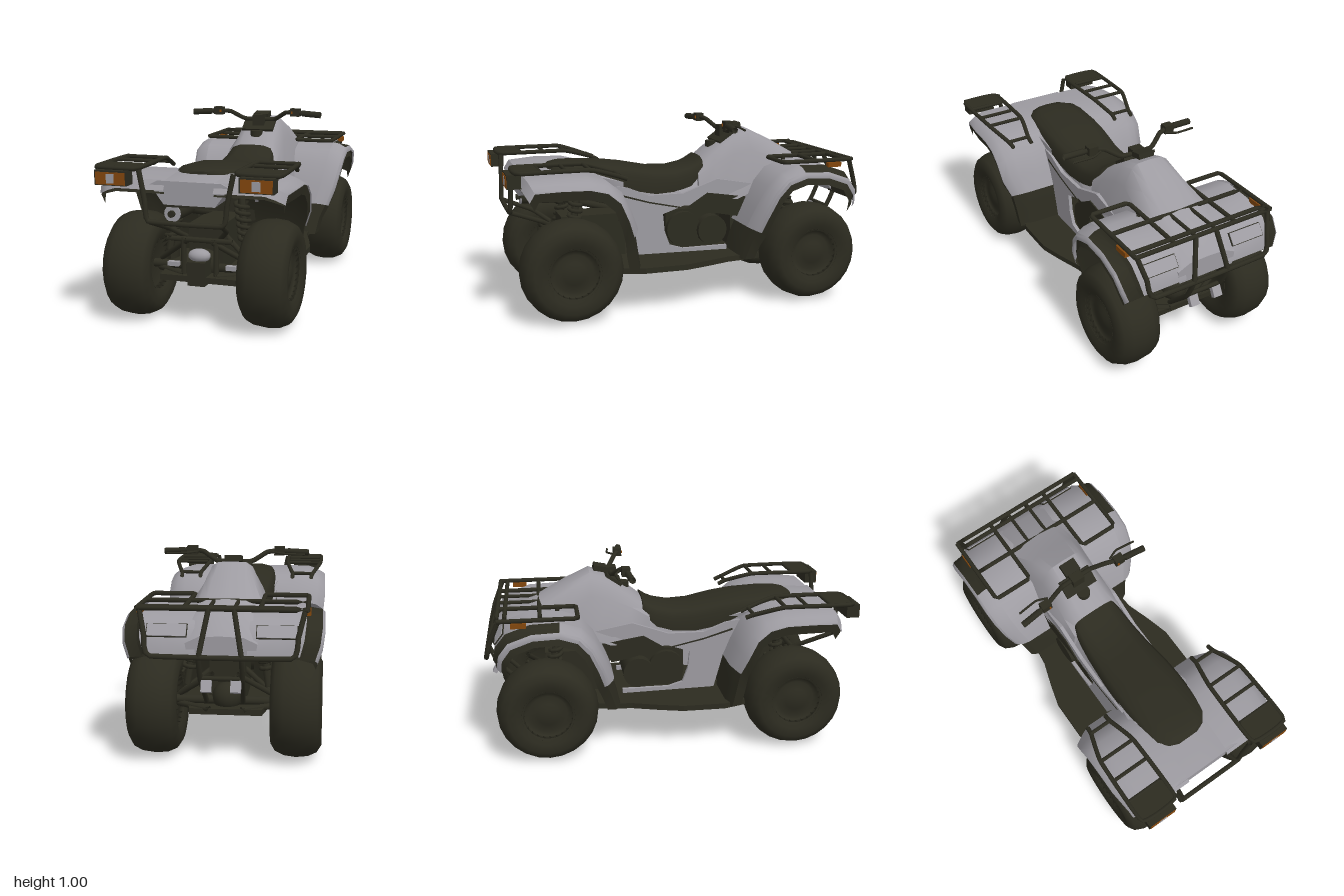
import * as THREE from 'three';
import { toCreasedNormals } from 'three/addons/utils/BufferGeometryUtils.js';

const flat = (name, color) => new THREE.MeshStandardMaterial({ name, color, side: THREE.DoubleSide });

export function createModel() {
  const root = new THREE.Group();
  const dark = flat('black plastic', 0x2c2b20);
  const grey = flat('grey bodywork', 0x9d9ba1);
  const amber = flat('amber lamp', 0x83470d);
  const SIDES = [1, -1];

  const add = (name, geo, mat, x = 0, y = 0, z = 0, rx = 0, ry = 0, rz = 0) => {
    const m = new THREE.Mesh(geo, mat);
    m.name = name;
    m.position.set(x, y, z);
    m.rotation.set(rx, ry, rz);
    root.add(m);
    return m;
  };
  const box = (name, mat, w, h, d, ...at) => add(name, new THREE.BoxGeometry(w, h, d), mat, ...at);
  const axle = (name, r, len, ...at) => add(name, new THREE.CylinderGeometry(r, r, len, 20), dark, ...at, 0, 0, Math.PI / 2);
  const tube = (name, pts, r = 0.012) => {
    const curve = new THREE.CatmullRomCurve3(pts.map(p => new THREE.Vector3(...p)), false, 'catmullrom', 0.15);
    return add(name, new THREE.TubeGeometry(curve, pts.length * 7, r, 7), dark);
  };
  const pair = (name, pts, r) => SIDES.forEach(s => tube(name, pts.map(([x, y, z]) => [x * s, y, z]), r));

  // Skin over rows of points
  const loft = (name, mat, rows, crease = 0.7) => {
    const n = rows[0].length, idx = [];
    for (let i = 0; i < rows.length - 1; i++) for (let j = 0; j < n - 1; j++) {
      const a = i * n + j, b = a + n;
      idx.push(a, b, a + 1, b, b + 1, a + 1);
    }
    const g = new THREE.BufferGeometry();
    g.setAttribute('position', new THREE.Float32BufferAttribute(rows.flat(2), 3));
    g.setIndex(idx);
    return add(name, toCreasedNormals(g, crease), mat);
  };
  // Closed symmetric shell: each station is [z, [x, y] points from the top centre down]
  const shell = (name, mat, stations, crease) => {
    const rows = stations.map(([z, pts]) => {
      const half = [...pts, [0, pts[pts.length - 1][1]]];
      return [...half.slice().reverse().map(([x, y]) => [-x, y, z]), ...half.slice(1).map(([x, y]) => [x, y, z])];
    });
    const cap = row => {
      const y = (row[0][1] + row[(row.length - 1) / 2][1]) / 2;
      return row.map(p => [0, y, p[2]]);
    };
    return loft(name, mat, [cap(rows[0]), ...rows, cap(rows[rows.length - 1])], crease);
  };
  // Wheel arch: stations [z, y, widthScale] swept over columns [x, inset toward the axle]
  const arch = (name, mat, stations, cols, wheelZ) => SIDES.forEach(s => loft(name, mat,
    stations.map(([z, y, k = 1]) => cols.map(([x, inset]) => {
      const dz = wheelZ - z, dy = 0.28 - y, l = Math.hypot(dz, dy);
      return [s * x * k, y + dy / l * inset, z + dz / l * inset];
    })), 0.8));
  // Flat plate drawn in (z, y) and mirrored to both sides
  const sidePlate = (name, mat, pts, x, t) => {
    const g = new THREE.ExtrudeGeometry(new THREE.Shape(pts.map(p => new THREE.Vector2(...p))), { depth: t, bevelEnabled: false });
    SIDES.forEach(s => add(name, g, mat, s > 0 ? x : -x + t, 0, 0, 0, -Math.PI / 2));
  };

  // Wheels
  const tyre = new THREE.LatheGeometry([[0.13, -0.105], [0.165, -0.12], [0.21, -0.125], [0.245, -0.103], [0.265, -0.06],
    [0.272, 0], [0.265, 0.06], [0.245, 0.103], [0.21, 0.125], [0.165, 0.12], [0.13, 0.105]].map(p => new THREE.Vector2(...p)), 24);
  const rim = new THREE.LatheGeometry([[0, -0.07], [0.12, -0.07], [0.14, -0.11], [0.14, 0.11], [0.125, 0.085], [0.1, 0.075],
    [0.06, 0.085], [0.03, 0.095], [0, 0.095]].map(p => new THREE.Vector2(...p)), 24);
  for (const z of [0.67, -0.68]) for (const s of SIDES) {
    add('tyre', tyre, dark, s * 0.35, 0.277, z, 0, 0, -s * Math.PI / 2);
    add('wheelRim', rim, dark, s * 0.35, 0.277, z, 0, 0, -s * Math.PI / 2);
  }

  // Axles, suspension arms and shock absorbers
  for (const [z, d] of [[0.67, 1], [-0.68, -1]]) {
    axle('axle', 0.022, 0.62, 0, 0.28, z);
    add('differential', new THREE.SphereGeometry(0.075, 16, 12), dark, 0, 0.3, z);
    for (const dz of [-0.1, 0.1]) {
      pair('lowerArm', [[0.08, 0.26, z + dz], [0.25, 0.26, z]], 0.016);
      pair('upperArm', [[0.06, 0.44, z + dz], [0.24, 0.31, z]], 0.014);
    }
    pair('shockRod', [[0.21, 0.33, z - d * 0.02], [0.16, 0.68, z - d * 0.08]], 0.02);
    const coil = Array.from({ length: 49 }, (_, i) => {
      const t = i / 48, a = t * Math.PI * 12;
      return [0.2 - 0.035 * t + 0.032 * Math.cos(a), 0.42 + 0.2 * t, z - d * (0.04 + 0.03 * t) + 0.032 * Math.sin(a)];
    });
    pair('shockSpring', coil, 0.011);
    box('frameBlock', dark, 0.18, 0.24, 0.36, 0, 0.38, z - d * 0.18);
  }

  // Belly plate with footwells
  const floor = [[0.18, -0.78], [0.22, -0.58], [0.3, -0.4], [0.32, -0.22], [0.365, -0.08], [0.4, 0.05], [0.4, 0.28], [0.36, 0.4], [0.22, 0.56], [0.2, 0.8]];
  const floorShape = new THREE.Shape([...floor, ...floor.slice().reverse().map(([x, z]) => [-x, z])].map(p => new THREE.Vector2(...p)));
  add('footwellFloor', new THREE.ExtrudeGeometry(floorShape, { depth: 0.03, bevelEnabled: false }), dark, 0, 0.262, 0, Math.PI / 2);

  // Engine
  box('engineBlock', dark, 0.28, 0.22, 0.3, 0, 0.4, -0.06);
  axle('clutchCover', 0.085, 0.4, 0, 0.39, -0.17);
  axle('crankcase', 0.1, 0.34, 0, 0.4, -0.01);

  // Front cowl with tank and nose
  const cowl = (z, top, w, side, ws, bottom, wb) => [z, [[0, top], [w * 0.7, top - 0.004], [w, top - 0.025], [ws, side], [wb, bottom]]];
  shell('frontCowl', grey, [
    cowl(-0.1, 0.755, 0.11, 0.7, 0.155, 0.56, 0.17),
    cowl(-0.2, 0.835, 0.11, 0.76, 0.155, 0.56, 0.19),
    cowl(-0.32, 0.915, 0.105, 0.81, 0.148, 0.56, 0.2),
    cowl(-0.42, 0.948, 0.105, 0.83, 0.15, 0.6, 0.2),
    cowl(-0.55, 0.885, 0.125, 0.79, 0.17, 0.68, 0.19),
    cowl(-0.69, 0.805, 0.14, 0.765, 0.18, 0.68, 0.19),
    cowl(-0.86, 0.75, 0.15, 0.715, 0.18, 0.65, 0.18),
    cowl(-0.945, 0.665, 0.15, 0.63, 0.17, 0.56, 0.16)]);
  box('dashPanel', dark, 0.19, 0.1, 0.016, 0, 0.9, -0.288, -0.97);
  add('fuelCap', new THREE.CylinderGeometry(0.037, 0.037, 0.035, 16), dark, 0, 0.855, -0.235);

  // Rear body under the seat
  const tail = (z, top, w, bottom, wb) => [z, [[0, top], [w * 0.8, top], [w, top - 0.02], [wb, bottom]]];
  shell('rearBody', grey, [
    tail(-0.15, 0.69, 0.13, 0.56, 0.17), tail(0.1, 0.66, 0.15, 0.52, 0.17), tail(0.3, 0.7, 0.17, 0.55, 0.17),
    tail(0.5, 0.755, 0.2, 0.66, 0.17), tail(0.72, 0.765, 0.21, 0.66, 0.15), tail(0.9, 0.755, 0.2, 0.64, 0.13)]);
  box('underTray', dark, 0.26, 0.03, 0.4, 0, 0.642, 0.69);

  // Seat
  const pad = (z, w, top, bottom) => [z, [[0, top], [w * 0.55, top - 0.003], [w * 0.88, top - 0.018], [w, top - 0.05], [w, bottom]]];
  shell('seat', dark, [
    pad(-0.135, 0.13, 0.8, 0.72), pad(-0.1, 0.142, 0.775, 0.68), pad(-0.06, 0.147, 0.757, 0.64), pad(0.03, 0.155, 0.738, 0.615),
    pad(0.15, 0.163, 0.743, 0.61), pad(0.3, 0.175, 0.772, 0.64), pad(0.42, 0.178, 0.788, 0.7), pad(0.58, 0.175, 0.797, 0.735),
    pad(0.66, 0.16, 0.797, 0.74), pad(0.71, 0.12, 0.79, 0.74), pad(0.73, 0.07, 0.78, 0.74)], 1.0);

  // Side panels
  sidePlate('sidePanel', grey, [[0.44, 0.68], [0.31, 0.47], [0.26, 0.28], [-0.26, 0.27], [-0.26, 0.295], [0, 0.295], [0.08, 0.32], [0.11, 0.4],
    [0.12, 0.5], [0, 0.54], [-0.12, 0.54], [-0.3, 0.48], [-0.42, 0.64], [-0.2, 0.68], [0, 0.61], [0.2, 0.61], [0.32, 0.66]], 0.19, 0.02);
  sidePlate('sideVent', dark, [[-0.02, 0.53], [-0.14, 0.605], [-0.37, 0.57], [-0.32, 0.46], [-0.22, 0.48]], 0.197, 0.008);
  sidePlate('panelSeam', dark, [[0.36, 0.625], [0.2, 0.575], [0.02, 0.535], [0.02, 0.528], [0.2, 0.567], [0.36, 0.615]], 0.193, 0.005);

  // Rear fenders, with dark liners running down to the footwells
  const rearArc = [[0.31, 0.47, 0.91], [0.35, 0.57, 0.98], [0.405, 0.68], [0.48, 0.74], [0.58, 0.765], [0.74, 0.768], [0.885, 0.757, 0.97], [0.915, 0.71, 0.96]];
  arch('rearFender', grey, rearArc, [[0.13, 0], [0.28, 0], [0.39, 0], [0.44, 0.018], [0.485, 0.042], [0.488, 0.05]], 0.67);
  arch('rearFenderLiner', dark, [[0.27, 0.24, 0.86], [0.29, 0.36, 0.88], ...rearArc], [[0.13, 0.02], [0.39, 0.02], [0.44, 0.035], [0.48, 0.05], [0.474, 0.1]], 0.67);

  // Front fenders
  const frontArc = [[-0.32, 0.43, 0.86], [-0.36, 0.54, 0.93], [-0.42, 0.66, 0.98], [-0.49, 0.735], [-0.6, 0.77], [-0.75, 0.765], [-0.88, 0.72], [-0.935, 0.65, 0.98], [-0.95, 0.575, 0.93]];
  arch('frontFender', grey, frontArc, [[0.13, 0], [0.28, 0], [0.395, 0]], -0.68);
  arch('frontFenderShoulder', grey, frontArc.slice(0, 5), [[0.395, 0], [0.435, 0.008], [0.47, 0.03]], -0.68);
  arch('frontFenderInset', dark, frontArc.slice(4), [[0.395, 0], [0.41, 0.02], [0.47, 0.03]], -0.68);
  arch('frontFenderLip', grey, frontArc, [[0.47, 0.03], [0.482, 0.042], [0.482, 0.062]], -0.68);
  arch('frontFenderLiner', dark, [[-0.26, 0.24, 0.76], [-0.29, 0.35, 0.8], ...frontArc], [[0.13, 0.02], [0.39, 0.02], [0.46, 0.05], [0.474, 0.1]], -0.68);

  // Headlamps and side markers
  for (const s of SIDES) {
    box('headlampFrame', dark, 0.195, 0.07, 0.01, s * 0.26, 0.682, -0.912, 0.66);
    box('headlampLens', grey, 0.187, 0.063, 0.009, s * 0.26, 0.685, -0.916, 0.66);
    box('sideMarker', amber, 0.026, 0.026, 0.08, s * 0.402, 0.765, -0.81);
  }

  // Front rack
  const fy = 0.79;
  pair('frontRackLoop', [[0.4, fy, -0.92], [0.4, fy, -0.52], [0.385, fy, -0.505], [0.195, fy, -0.505], [0.18, fy, -0.52], [0.18, fy, -0.92]]);
  for (const z of [-0.92, -0.88, -0.7]) tube('frontRackBar', [[-0.4, fy, z], [0.4, fy, z]]);
  pair('frontRackSlat', [[0.06, fy, -0.92], [0.06, fy, -0.7]], 0.01);
  pair('frontRackPost', [[0.18, fy, -0.6], [0.18, 0.72, -0.62]]);

  // Front bumper
  tube('bumperHoop', [[-0.39, fy, -0.91], [-0.36, 0.67, -0.96], [-0.33, 0.575, -0.985], [0.33, 0.575, -0.985], [0.36, 0.67, -0.96], [0.39, fy, -0.91]], 0.013);
  pair('bumperStay', [[0.06, fy, -0.92], [0.1, 0.575, -0.985], [0.1, 0.45, -0.93], [0.09, 0.3, -0.78]], 0.013);
  tube('bumperCrossbar', [[-0.1, 0.46, -0.935], [0.1, 0.46, -0.935]]);
  SIDES.forEach(s => box('towBracket', grey, 0.05, 0.07, 0.025, s * 0.07, 0.43, -0.945, 0.5));

  // Rear racks and lamps
  pair('rearRackLoop', [[0.4, 0.75, 0.38], [0.405, 0.765, 0.42], [0.455, 0.815, 0.58], [0.458, 0.815, 0.945], [0.25, 0.815, 0.945],
    [0.25, 0.815, 0.58], [0.285, 0.77, 0.42], [0.285, 0.75, 0.38]]);
  pair('rearRackBar', [[0.285, 0.77, 0.42], [0.405, 0.77, 0.42]], 0.01);
  for (const z of [0.58, 0.7, 0.83]) pair('rearRackBar', [[0.25, 0.815, z], [0.457, 0.815, z]], 0.01);
  for (const s of SIDES) {
    box('rearRackPlate', dark, 0.2, 0.02, 0.115, s * 0.355, 0.812, 0.893);
    box('rearLampHousing', dark, 0.165, 0.072, 0.07, s * 0.36, 0.772, 0.96);
    box('rearLamp', amber, 0.152, 0.06, 0.008, s * 0.36, 0.77, 0.994);
    box('rearLampReflector', grey, 0.04, 0.045, 0.004, s * 0.36, 0.77, 0.998);
  }

  // Rear guard and hitch frame
  tube('rearGuard', [[-0.235, 0.81, 0.945], [-0.205, 0.66, 0.95], [-0.185, 0.565, 0.955], [0.185, 0.565, 0.955], [0.205, 0.66, 0.95], [0.235, 0.81, 0.945]], 0.013);
  pair('rearGuardStay', [[0.18, 0.565, 0.955], [0.15, 0.5, 0.79], [0.09, 0.44, 0.7]], 0.013);
  pair('hitchUpright', [[0.085, 0.45, 0.76], [0.085, 0.25, 0.76]], 0.014);
  tube('hitchCrossbar', [[-0.17, 0.44, 0.76], [0.17, 0.44, 0.76]], 0.014);
  box('hitchBlock', dark, 0.09, 0.12, 0.12, 0, 0.28, 0.76);
  add('gearCover', new THREE.SphereGeometry(0.058, 16, 10).scale(1, 0.6, 0.7), grey, 0, 0.363, 0.765);
  SIDES.forEach(s => box('armMount', grey, 0.06, 0.022, 0.03, s * 0.155, 0.298, 0.72));
  box('airBox', dark, 0.32, 0.2, 0.14, 0, 0.56, 0.28);

  // Exhaust
  add('muffler', new THREE.CylinderGeometry(0.036, 0.042, 0.2, 16), dark, -0.1, 0.585, 0.76, Math.PI / 2);
  tube('exhaustPipe', [[-0.1, 0.58, 0.68], [-0.1, 0.53, 0.5], [-0.08, 0.48, 0.3]], 0.02);
  add('mufflerCap', new THREE.CylinderGeometry(0.042, 0.042, 0.008, 16), grey, -0.1, 0.59, 0.862, Math.PI / 2);
  add('mufflerOutlet', new THREE.CylinderGeometry(0.017, 0.017, 0.03, 12), dark, -0.1, 0.59, 0.87, Math.PI / 2);

  // Handlebar, grips, switches and levers
  tube('handlebar', [[-0.38, 0.975, -0.22], [-0.24, 0.985, -0.235], [-0.17, 0.98, -0.26], [-0.09, 0.935, -0.3],
    [0.09, 0.935, -0.3], [0.17, 0.98, -0.26], [0.24, 0.985, -0.235], [0.38, 0.975, -0.22]], 0.013);
  box('handlebarClamp', dark, 0.07, 0.09, 0.06, 0, 0.915, -0.3);
  box('instrumentPod', dark, 0.09, 0.03, 0.07, 0, 0.955, -0.36, 0.2);
  pair('grip', [[0.27, 0.982, -0.23], [0.39, 0.975, -0.218]], 0.018);
  pair('brakeLever', [[0.2, 0.98, -0.27], [0.26, 0.975, -0.295], [0.37, 0.97, -0.285]], 0.006);
  for (const s of SIDES) {
    box('switchHousing', dark, 0.055, 0.045, 0.045, s * 0.235, 0.985, -0.238);
    box('switchButton', amber, 0.01, 0.015, 0.008, s * 0.22, 0.985, -0.214);
  }
  return root;
}
